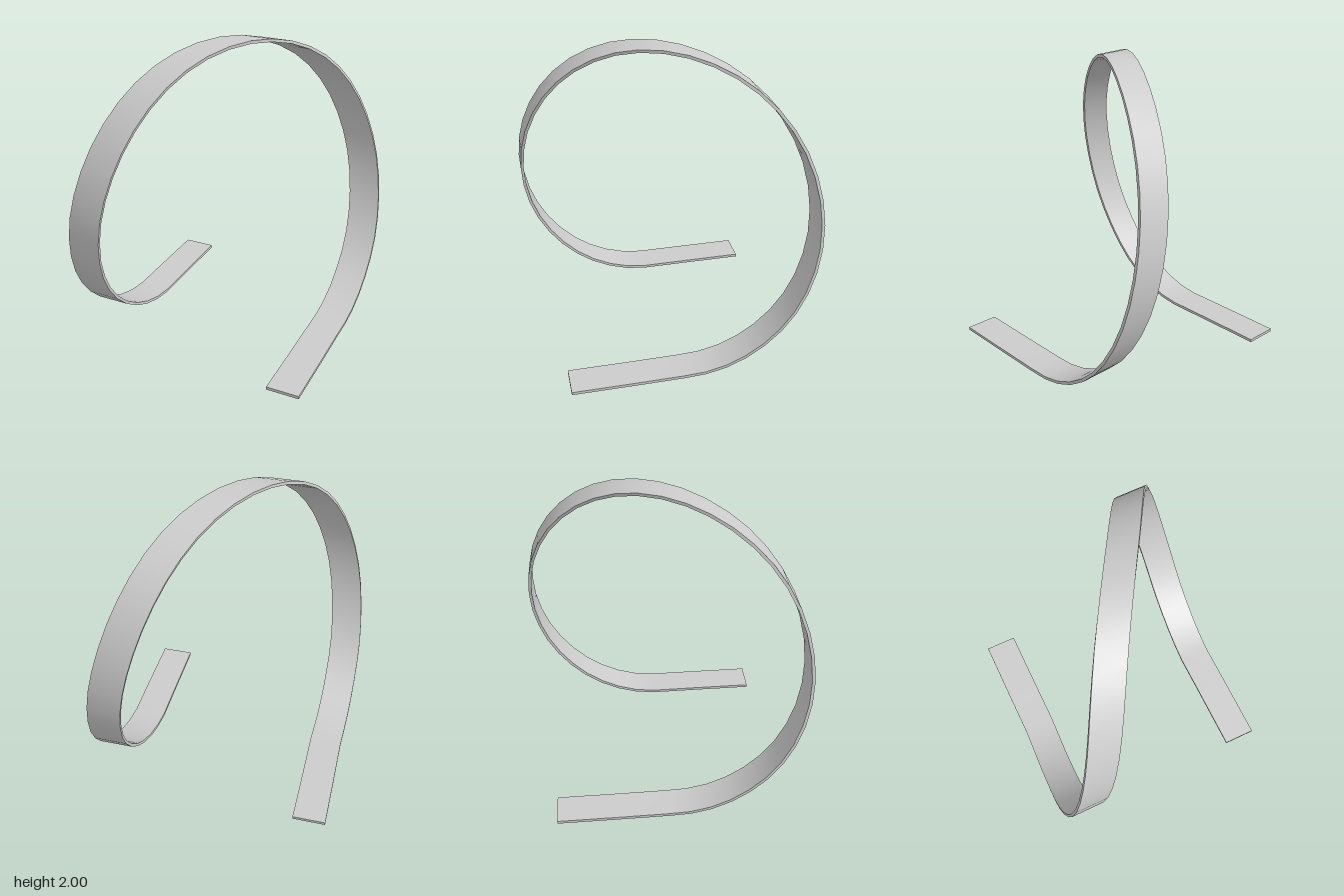
import * as THREE from 'three';

const HALF_WIDTH = 0.11, HALF_THICK = 0.01, STEPS = 40;

// Sideways drift of the ribbon over the first half of the loop, every 18 degrees
const drift = new THREE.SplineCurve(
  [-0.67, -0.68, -0.685, -0.681, -0.652, -0.6, -0.522, -0.425, -0.308, -0.165, 0, 0.165]
    .map((x, i) => new THREE.Vector2(x, i)));
const driftAt = (s) => (s <= 0.5 ? drift.getPoint(s * 20 / 11).x : -drift.getPoint((1 - s) * 20 / 11).x);

// Centre points of the ribbon with the direction its upper face looks (ny, nz)
function ribbonPath() {
  const path = [{ x: -0.68, y: 0.01, z: -0.74, ny: 1, nz: 0 }, { x: -0.675, y: 0.01, z: -0.3, ny: 1, nz: 0 }];
  for (let i = 0; i <= STEPS; i++) {
    const s = i / STEPS, t = s * Math.PI * 2;
    path.push({
      x: driftAt(s), y: 1 - 0.99 * Math.cos(t), z: 0.89 * Math.sin(t),
      ny: Math.cos(t), nz: -Math.sin(t),
    });
  }
  path.push({ x: 0.675, y: 0.01, z: 0.3, ny: 1, nz: 0 }, { x: 0.68, y: 0.01, z: 0.74, ny: 1, nz: 0 });
  return path;
}

// Sweep a flat rectangle along the path; each side has its own vertices so edges stay sharp
function ribbonGeometry(path) {
  const pos = [], index = [];
  const corners = [[-1, 1], [1, 1], [1, -1], [-1, -1]];
  const add = (p, [w, h]) => pos.push(
    p.x + w * HALF_WIDTH, p.y + h * HALF_THICK * p.ny, p.z + h * HALF_THICK * p.nz);

  for (let side = 0; side < 4; side++) {
    const base = pos.length / 3;
    path.forEach((p, i) => {
      add(p, corners[side]);
      add(p, corners[(side + 1) % 4]);
      if (i === 0) return;
      const a = base + (i - 1) * 2;
      index.push(a, a + 2, a + 3, a, a + 3, a + 1);
    });
  }

  // End caps
  [[path[0], corners], [path[path.length - 1], [...corners].reverse()]].forEach(([p, ring]) => {
    const b = pos.length / 3;
    ring.forEach((c) => add(p, c));
    index.push(b, b + 1, b + 2, b, b + 2, b + 3);
  });

  const geometry = new THREE.BufferGeometry();
  geometry.setAttribute('position', new THREE.Float32BufferAttribute(pos, 3));
  geometry.setIndex(index);
  geometry.computeVertexNormals();
  return geometry;
}

export function createModel() {
  const group = new THREE.Group();
  group.name = 'loopTrack';
  const ribbon = new THREE.Mesh(
    ribbonGeometry(ribbonPath()), new THREE.MeshStandardMaterial({ color: 0xcccccc }));
  ribbon.name = 'trackRibbon';
  group.add(ribbon);
  return group;
}
